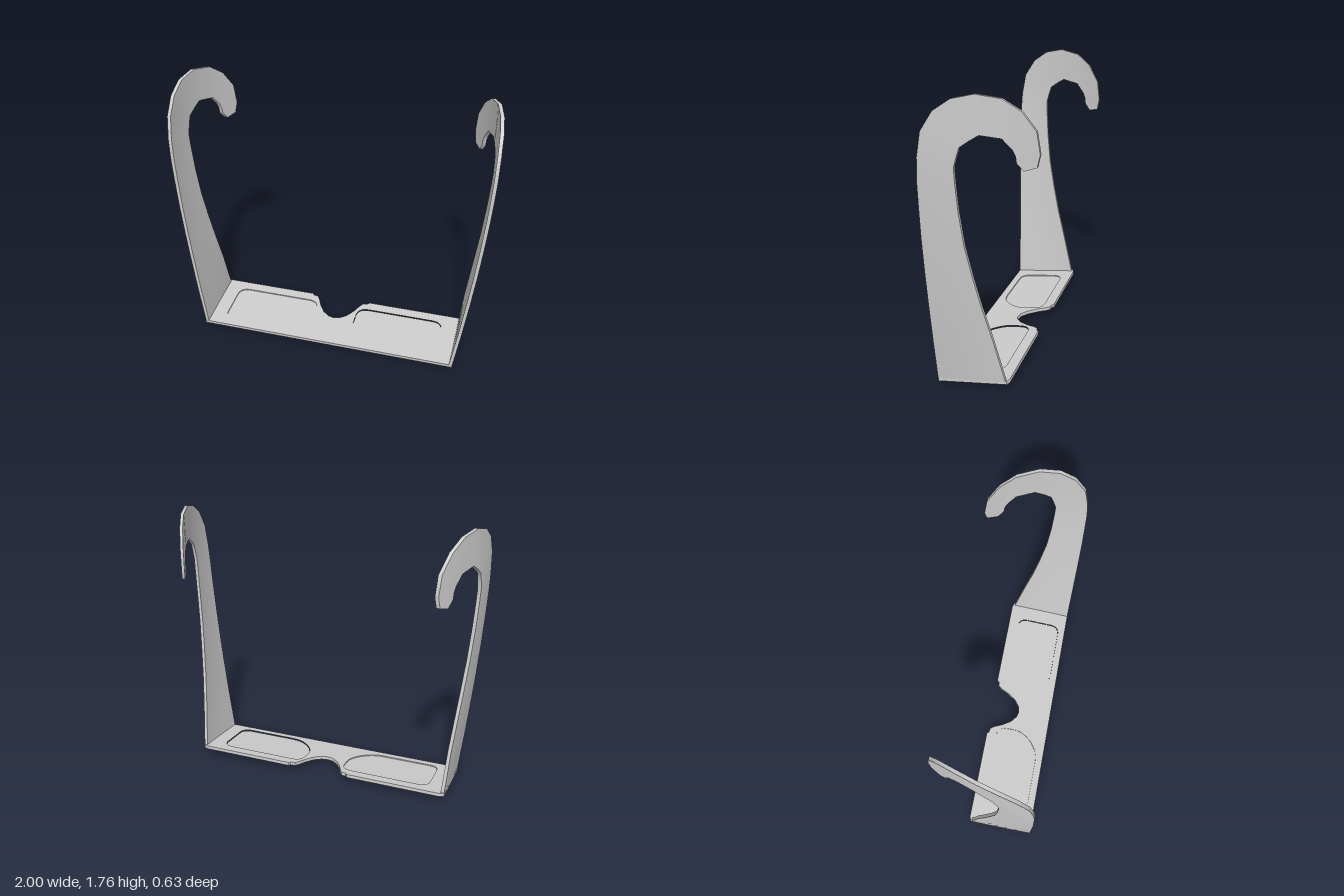
import * as THREE from 'three';

const material = new THREE.MeshStandardMaterial({ color: 0xcccccc });
const THICK = 0.022;      // card thickness
const CENTRE = -0.022;    // middle of the front panel
const HALF = 0.867;       // half width of the front panel

// Temple outline as [z, y]: the front/outer edge and the rear/inner edge, foot to tip
const outer = [[0.3, 0.02], [0.306, 0.3], [0.311, 0.55], [0.315, 0.75], [0.318, 0.95], [0.318, 1.15],
  [0.318, 1.3], [0.31, 1.42], [0.285, 1.56], [0.215, 1.67], [0.12, 1.735], [0, 1.76], [-0.13, 1.735],
  [-0.225, 1.665], [-0.295, 1.555], [-0.312, 1.43], [-0.298, 1.36]];
const inner = [[-0.12, 0.06], [-0.055, 0.33], [0, 0.54], [0.04, 0.72], [0.078, 0.92], [0.1, 1.12],
  [0.11, 1.28], [0.113, 1.37], [0.095, 1.435], [0.08, 1.48], [0.03, 1.515], [-0.02, 1.545], [-0.13, 1.525],
  [-0.18, 1.465], [-0.195, 1.43], [-0.2, 1.39], [-0.235, 1.345]];

function mesh(name, geometry) {
  const m = new THREE.Mesh(geometry, material);
  m.name = name;
  return m;
}

// Lay a flat shape (x, -z) down and thicken it upwards
function slab(shape, depth) {
  return new THREE.ExtrudeGeometry(shape, { depth, bevelEnabled: false, curveSegments: 8 }).rotateX(-Math.PI / 2);
}

// Eye opening; side mirrors it in x
function lensOutline(path, side) {
  const p = (x, z) => [side * x, -z];
  path.moveTo(...p(0.68, 0.25));
  path.lineTo(...p(0.34, 0.25));
  path.bezierCurveTo(...p(0.25, 0.25), ...p(0.16, 0.16), ...p(0.145, 0.08));
  path.lineTo(...p(0.145, 0));
  path.quadraticCurveTo(...p(0.15, -0.07), ...p(0.22, -0.07));
  path.lineTo(...p(0.67, -0.07));
  path.quadraticCurveTo(...p(0.745, -0.07), ...p(0.745, 0));
  path.lineTo(...p(0.745, 0.18));
  path.quadraticCurveTo(...p(0.745, 0.25), ...p(0.68, 0.25));
  return path;
}

// Flat card with the nose notch and two eye openings
function frontPanel() {
  const half = [[0, 0.063], [0.04, 0.055], [0.085, 0.02], [0.125, -0.04], [0.15, -0.095], [0.17, -0.122],
    [0.2, -0.126], [0.21, -0.14], [0.84, -0.14], [HALF, -0.128], [HALF, 0.3]];
  const right = half.map(([x, z]) => new THREE.Vector2(x, -z));
  const left = half.slice(1).reverse().map(([x, z]) => new THREE.Vector2(-x, -z));
  const shape = new THREE.Shape([...right, ...left]);
  for (const side of [1, -1]) shape.holes.push(lensOutline(new THREE.Path(), side));
  return slab(shape, THICK);
}

// Temple: a thin box mapped onto the hooked outline, then bowed out and curled in
function temple(side, foot, heightScale) {
  const rows = outer.length - 1;
  const g = new THREE.BoxGeometry(1, 1, 1, 1, rows, 6);
  const pos = g.attributes.position;
  for (let i = 0; i < pos.count; i++) {
    const row = Math.round((pos.getY(i) + 0.5) * rows);
    const t = 0.5 - pos.getZ(i);
    const z = THREE.MathUtils.lerp(outer[row][0], inner[row][0], t);
    const y = THREE.MathUtils.lerp(outer[row][1], inner[row][1], t) * heightScale;
    const rise = 1 - Math.pow(1 - Math.min(y / 1.5, 1), 1.5);
    const back = 0.31 - z;
    const x = foot + (0.988 - foot - 0.47 * back * back) * rise;
    pos.setXYZ(i, side * x + pos.getX(i) * THICK, y, z);
  }
  g.computeVertexNormals();
  return g;
}

export function createModel() {
  const model = new THREE.Group();
  model.name = 'cardGlasses';

  // Front panel and its lenses, tipped up towards the back
  const front = new THREE.Group();
  front.name = 'front';
  front.rotation.x = 0.102;
  front.position.set(CENTRE, 0.0306, 0);
  front.add(mesh('frontPanel', frontPanel()));
  for (const side of [1, -1]) {
    const lens = mesh(side > 0 ? 'leftLens' : 'rightLens', slab(lensOutline(new THREE.Shape(), side), 0.008));
    lens.position.y = 0.007;
    front.add(lens);
  }
  model.add(front);

  // Hooked temples
  model.add(mesh('leftTemple', temple(1, 0.833, 0.992)));
  model.add(mesh('rightTemple', temple(-1, 0.874, 1)));
  return model;
}
